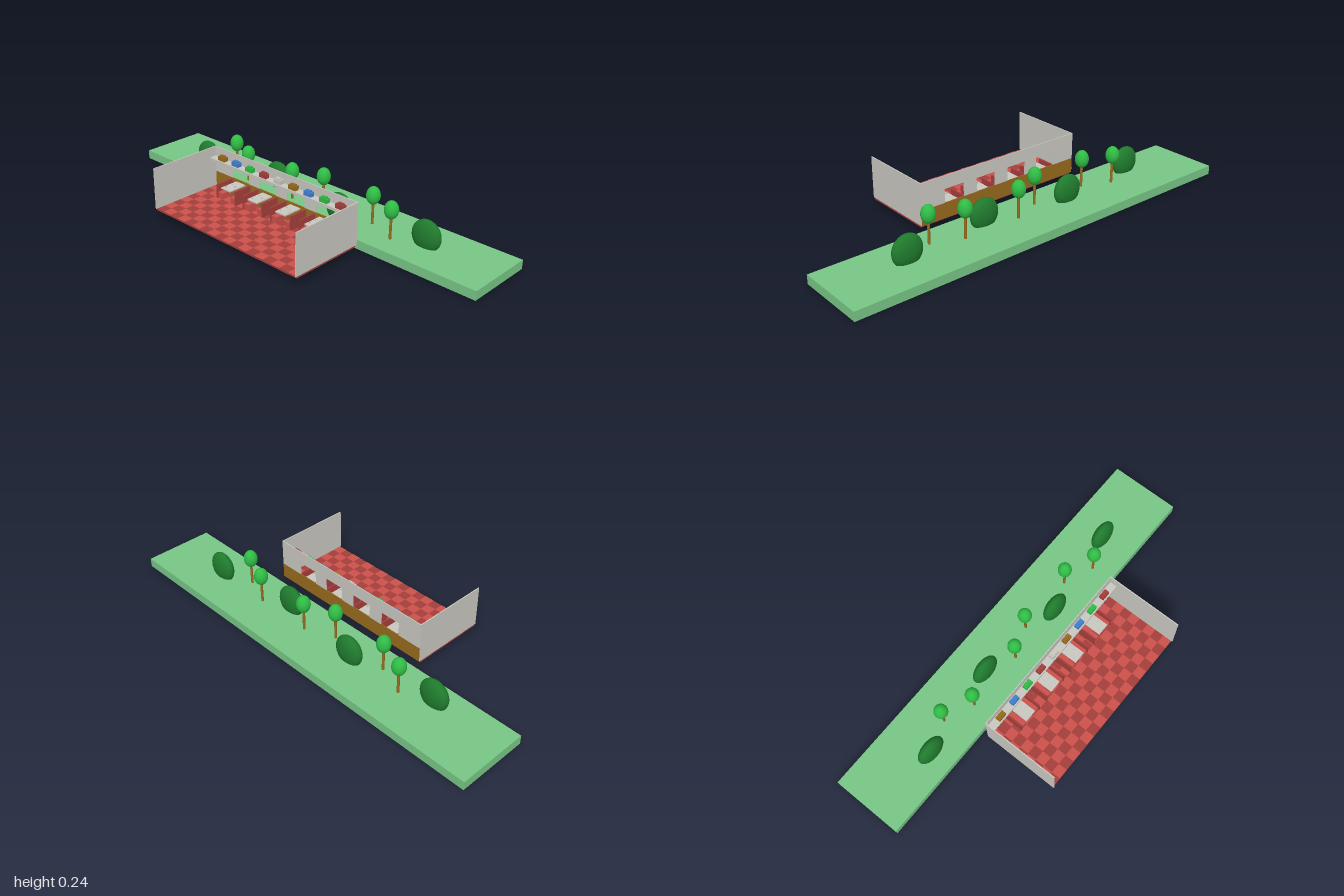
import * as THREE from 'three';

const mat = (name, color) => {
  const m = new THREE.MeshStandardMaterial({ color });
  m.name = name;
  return m;
};

export function createModel() {
  const root = new THREE.Group();
  root.name = 'dinerWithGarden';
  const M = {
    grass: mat('grassGreen', 0x77c585),
    leaf: mat('leafGreen', 0x2fbc45),
    bush: mat('bushGreen', 0x1f7a2d),
    wood: mat('woodBrown', 0x966a1c),
    wall: mat('wallGrey', 0xc8c6bf),
    red: mat('tileRed', 0xcb504b),
    darkRed: mat('darkRed', 0xa43e3b),
    blue: mat('boxBlue', 0x3f80d0),
  };

  const add = (parent, name, geo, material, x, y, z) => {
    const m = new THREE.Mesh(geo, material);
    m.name = name;
    m.position.set(x, y, z);
    parent.add(m);
    return m;
  };
  // Box given by its lower and upper corners
  const box = (parent, name, material, x0, x1, y0, y1, z0, z1) =>
    add(parent, name, new THREE.BoxGeometry(x1 - x0, y1 - y0, z1 - z0), material,
      (x0 + x1) / 2, (y0 + y1) / 2, (z0 + z1) / 2);

  // Garden lawn with bushes and trees
  const garden = new THREE.Group();
  garden.name = 'garden';
  root.add(garden);
  box(garden, 'lawn', M.grass, -1, 1, 0, 0.043, -0.373, -0.034);
  const ball = new THREE.SphereGeometry(1, 32, 20);
  [[-0.645, -0.141], [-0.215, -0.196], [0.215, -0.141], [0.645, -0.196]].forEach(([x, z]) => {
    add(garden, 'bush', ball, M.bush, x, 0.09, z).scale.set(0.072, 0.074, 0.035);
  });
  const trunk = new THREE.CylinderGeometry(0.006, 0.006, 0.11, 16);
  [[-0.5, -0.196], [-0.36, -0.139], [-0.072, -0.139], [0.07, -0.196], [0.357, -0.196], [0.5, -0.139]]
    .forEach(([x, z]) => {
      const tree = new THREE.Group();
      tree.name = 'tree';
      garden.add(tree);
      add(tree, 'trunk', trunk, M.wood, x, 0.096, z);
      add(tree, 'crown', ball, M.leaf, x, 0.18, z).scale.set(0.032, 0.042, 0.032);
    });

  // Floor slab with chequered tiles
  const W = 0.434;
  const diner = new THREE.Group();
  diner.name = 'diner';
  root.add(diner);
  box(diner, 'floor', M.darkRed, -W, W, 0.036, 0.0445, 0.012, 0.367);
  const cols = 18, rows = 8, tw = (2 * W) / cols, td = 0.355 / rows;
  const tile = new THREE.PlaneGeometry(tw, td).rotateX(-Math.PI / 2);
  for (let i = 0; i < cols; i++) {
    for (let j = i % 2; j < rows; j += 2) {
      add(diner, 'floorTile', tile, M.red, -W + (i + 0.5) * tw, 0.0455, 0.012 + (j + 0.5) * td);
    }
  }

  // Side walls, and back wall with four window openings
  for (const s of [-1, 1]) {
    add(diner, 'sideWall', new THREE.BoxGeometry(0.005, 0.198, 0.37), M.wall, s * (W - 0.001), 0.144, 0.188);
  }
  box(diner, 'lowerBackWall', M.wood, -W, W, 0.045, 0.117, 0.002, 0.006);
  box(diner, 'upperBackWall', M.wall, -W, W, 0.182, 0.243, 0.002, 0.006);
  const centres = [-0.26, -0.087, 0.087, 0.26], half = 0.052;
  const edges = [-W, ...centres.flatMap((c) => [c - half, c + half]), W];
  for (let i = 0; i < edges.length; i += 2) {
    box(diner, 'wallPillar', M.wall, edges[i], edges[i + 1], 0.117, 0.182, 0.002, 0.006);
  }

  // Shelf carrying a row of coloured boxes
  box(diner, 'shelf', M.wall, -W, W, 0.183, 0.196, 0.006, 0.042);
  const boxColours = [M.wood, M.blue, M.leaf, M.darkRed, M.wall];
  for (let i = 0; i < 9; i++) {
    const x = (i - 4) * 0.09, c = boxColours[i % 5];
    box(diner, 'shelfBox', c, x - 0.021, x + 0.021, 0.196, 0.216, 0.013, 0.036);
    box(diner, 'boxLid', c, x - 0.013, x + 0.013, 0.216, 0.222, 0.017, 0.032);
  }

  // Booths: facing benches with a table between
  const plate = new THREE.CylinderGeometry(0.007, 0.005, 0.002, 16);
  const cup = new THREE.CylinderGeometry(0.003, 0.0025, 0.008, 12);
  for (const c of centres) {
    const booth = new THREE.Group();
    booth.name = 'booth';
    booth.position.x = c;
    diner.add(booth);
    for (const s of [-1, 1]) {
      add(booth, 'benchSeat', new THREE.BoxGeometry(0.03, 0.03, 0.09), M.red, s * 0.042, 0.06, 0.054);
      add(booth, 'benchBack', new THREE.BoxGeometry(0.007, 0.068, 0.096), M.darkRed, s * 0.06, 0.079, 0.055);
      add(booth, 'plate', plate, M.wall, s * 0.018, 0.108, 0.055 + s * 0.012);
      add(booth, 'cup', cup, M.wall, s * 0.016, 0.111, 0.072 - s * 0.013);
    }
    box(booth, 'tableTop', M.wall, -0.03, 0.03, 0.101, 0.107, 0.008, 0.104);
    box(booth, 'tableLeg', M.wood, -0.004, 0.004, 0.045, 0.101, 0.052, 0.06);
  }
  return root;
}
